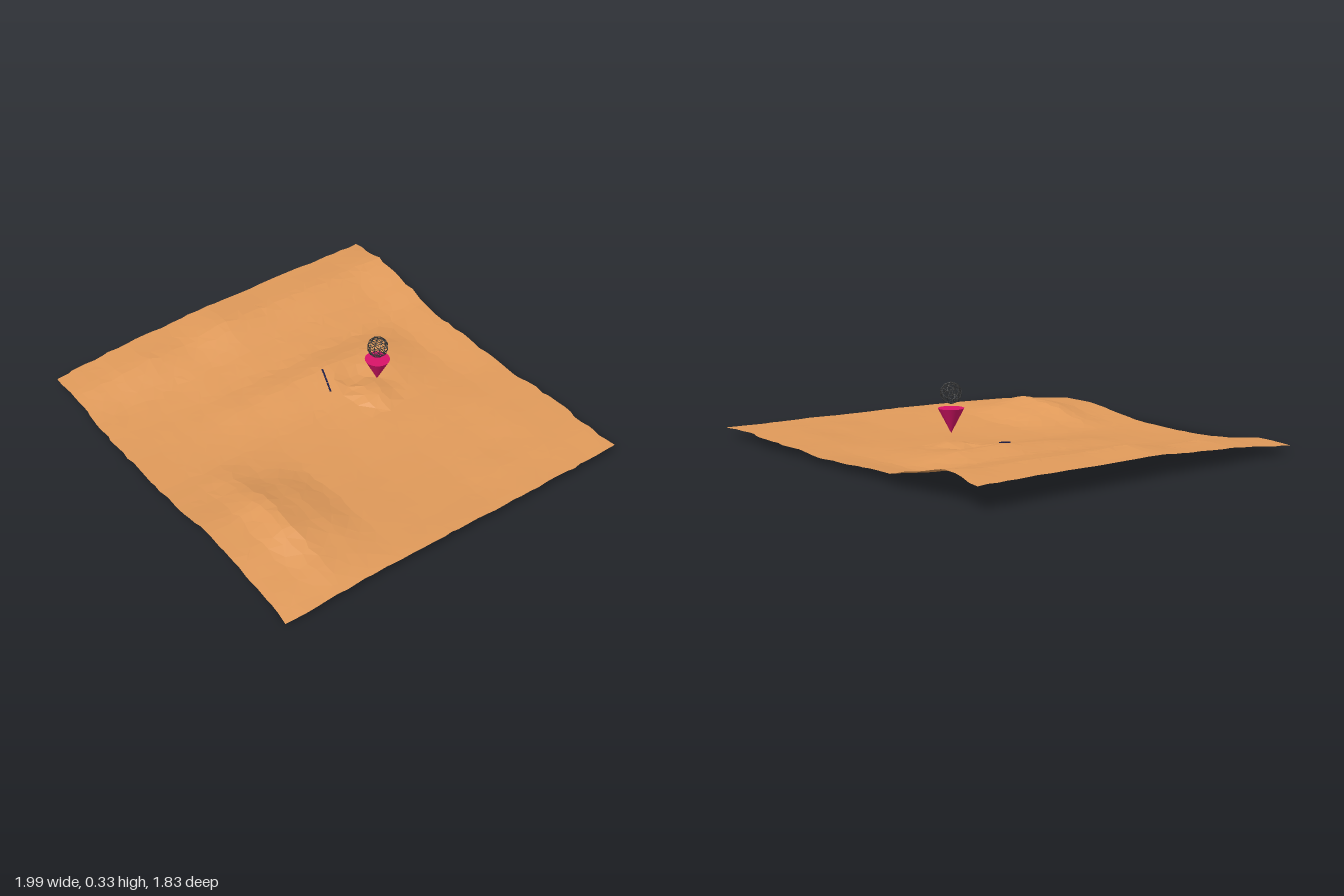
import * as THREE from 'three';

// Ground heights at control columns (x) and rows (z, back to front), in hundredths
const XS = [-1, -0.78, -0.55, -0.4, -0.25, 0, 0.15, 0.4, 0.6, 0.8, 1];
const ZS = [-0.92, -0.7, -0.45, -0.2, 0.05, 0.3, 0.5, 0.62, 0.76, 0.92];
const HEIGHTS = [
  [10, 13, 8.5, 5, 4.5, 3.5, 3, 4, 4.5, 5, 4.5],
  [10, 11.5, 6, 3, 2, 1.5, 1.5, 3, 4, 4.5, 4],
  [10, 11.5, 6, 3.5, 6, 3, 1.8, 1.5, 2, 3.5, 4],
  [9.5, 11, 5.5, 4, 6.5, 2.5, 1.5, 0.7, 1, 2, 3.5],
  [9.5, 11.3, 5, 3, 5, 1, 0.5, 0.5, 1, 2, 3.5],
  [8, 8, 3.5, 2, 3, 0.5, 0.5, 1, 2, 2.5, 3],
  [7, 8, 2, 1, 1.2, 0.5, 1.5, 6, 6.5, 4, 2.5],
  [6, 7, 1.5, 0.5, 0.5, 0.5, 3, 8.8, 9.3, 5, 2],
  [4.5, 5.5, 1, 0.3, 0, 0.5, 2, 6, 6, 3.5, 1.5],
  [3, 4, 1, 0, 0, 0.5, 2, 5.5, 5.5, 3, 0.5],
];

const hash = (i, j) => {
  const s = Math.sin(i * 127.1 + j * 311.7) * 43758.5453;
  return (s - Math.floor(s)) * 2 - 1;
};

// Eased interpolation between the knots
function locate(knots, v) {
  let k = 0;
  while (k < knots.length - 2 && v > knots[k + 1]) k++;
  const t = THREE.MathUtils.clamp((v - knots[k]) / (knots[k + 1] - knots[k]), 0, 1);
  return [k, 0.5 * t + 0.5 * t * t * (3 - 2 * t)];
}

function groundHeight(x, z) {
  const [i, u] = locate(XS, x), [j, v] = locate(ZS, z);
  const row = (r) => THREE.MathUtils.lerp(HEIGHTS[r][i], HEIGHTS[r][i + 1], u);
  let y = THREE.MathUtils.lerp(row(j), row(j + 1), v) / 100;
  // rocky outcrop below the marker
  const d = Math.hypot((x - 0.03) / 0.1, (z + 0.27) / 0.09);
  y += 0.022 * Math.max(0, 1 - d * d * 0.7);
  // hollow beside the outcrop
  const p = Math.hypot((x + 0.13) / 0.07, (z + 0.27) / 0.12);
  y -= 0.015 * Math.max(0, 1 - p * p);
  return Math.max(0, y);
}

// Thin, faceted sheet of ground with a ragged back edge
function makeTerrain() {
  const NX = 40, NZ = 36, pos = [], index = [];
  for (let j = 0; j <= NZ; j++) {
    for (let i = 0; i <= NX; i++) {
      const u = i / NX, v = j / NZ;
      const inX = i > 0 && i < NX, inZ = j > 0 && j < NZ;
      let x = THREE.MathUtils.lerp(-0.99 + 0.03 * v, 0.99, u);
      let z = THREE.MathUtils.lerp(-0.91, 0.91, v);
      x += hash(i, j) * (inX ? 0.015 : 0.005);
      z += hash(j + 50, i) * (inZ ? 0.015 : j === 0 ? 0.01 : 0.005);
      pos.push(x, groundHeight(x, z), z);
      if (i < NX && j < NZ) {
        const a = j * (NX + 1) + i, b = a + 1, c = a + NX + 1, d = c + 1;
        if ((i + j) % 2) index.push(a, c, b, b, c, d);
        else index.push(a, c, d, a, d, b);
      }
    }
  }
  const g = new THREE.BufferGeometry();
  g.setAttribute('position', new THREE.Float32BufferAttribute(pos, 3));
  g.setIndex(index);
  g.computeVertexNormals();
  const mat = new THREE.MeshStandardMaterial({ color: 0xe09a5a, flatShading: true, side: THREE.DoubleSide });
  const mesh = new THREE.Mesh(g, mat);
  mesh.name = 'terrain';
  return mesh;
}

// Ball of thin rods along the edges of a subdivided icosahedron
function makeWireBall(radius) {
  const group = new THREE.Group();
  group.name = 'wireBall';
  const mat = new THREE.MeshStandardMaterial({ color: 0x333333 });
  const edges = new THREE.EdgesGeometry(new THREE.IcosahedronGeometry(radius, 1), 1).attributes.position;
  const a = new THREE.Vector3(), b = new THREE.Vector3(), up = new THREE.Vector3(0, 1, 0);
  for (let i = 0; i < edges.count; i += 2) {
    a.fromBufferAttribute(edges, i);
    b.fromBufferAttribute(edges, i + 1);
    const rod = new THREE.Mesh(new THREE.CylinderGeometry(0.0015, 0.0015, a.distanceTo(b), 5), mat);
    rod.name = 'wireRod';
    rod.position.addVectors(a, b).multiplyScalar(0.5);
    rod.quaternion.setFromUnitVectors(up, b.clone().sub(a).normalize());
    group.add(rod);
  }
  return group;
}

// Row of short dark pieces lying on the ground
function makeDebris() {
  const group = new THREE.Group();
  group.name = 'debris';
  const mat = new THREE.MeshStandardMaterial({ color: 0x1c1c48 });
  for (let i = 0; i < 5; i++) {
    const x = -0.225 + i * 0.028, z = -0.145 + i * 0.01;
    const piece = new THREE.Mesh(new THREE.BoxGeometry(0.024, 0.008, 0.007), mat);
    piece.name = 'debrisPiece';
    piece.position.set(x, groundHeight(x, z) + 0.002, z);
    piece.rotation.set(0, -0.34, -0.2);
    group.add(piece);
  }
  return group;
}

export function createModel() {
  const model = new THREE.Group();
  model.name = 'groundWithMarker';
  model.add(makeTerrain(), makeDebris());

  // Marker: downward cone with the ball floating above
  const cone = new THREE.Mesh(
    new THREE.ConeGeometry(0.06, 0.115, 32),
    new THREE.MeshStandardMaterial({ color: 0xd81468 })
  );
  cone.name = 'markerCone';
  cone.rotation.x = Math.PI;
  cone.position.set(0, 0.148, -0.3);
  const ball = makeWireBall(0.05);
  ball.position.set(0, 0.275, -0.3);
  model.add(cone, ball);
  return model;
}
